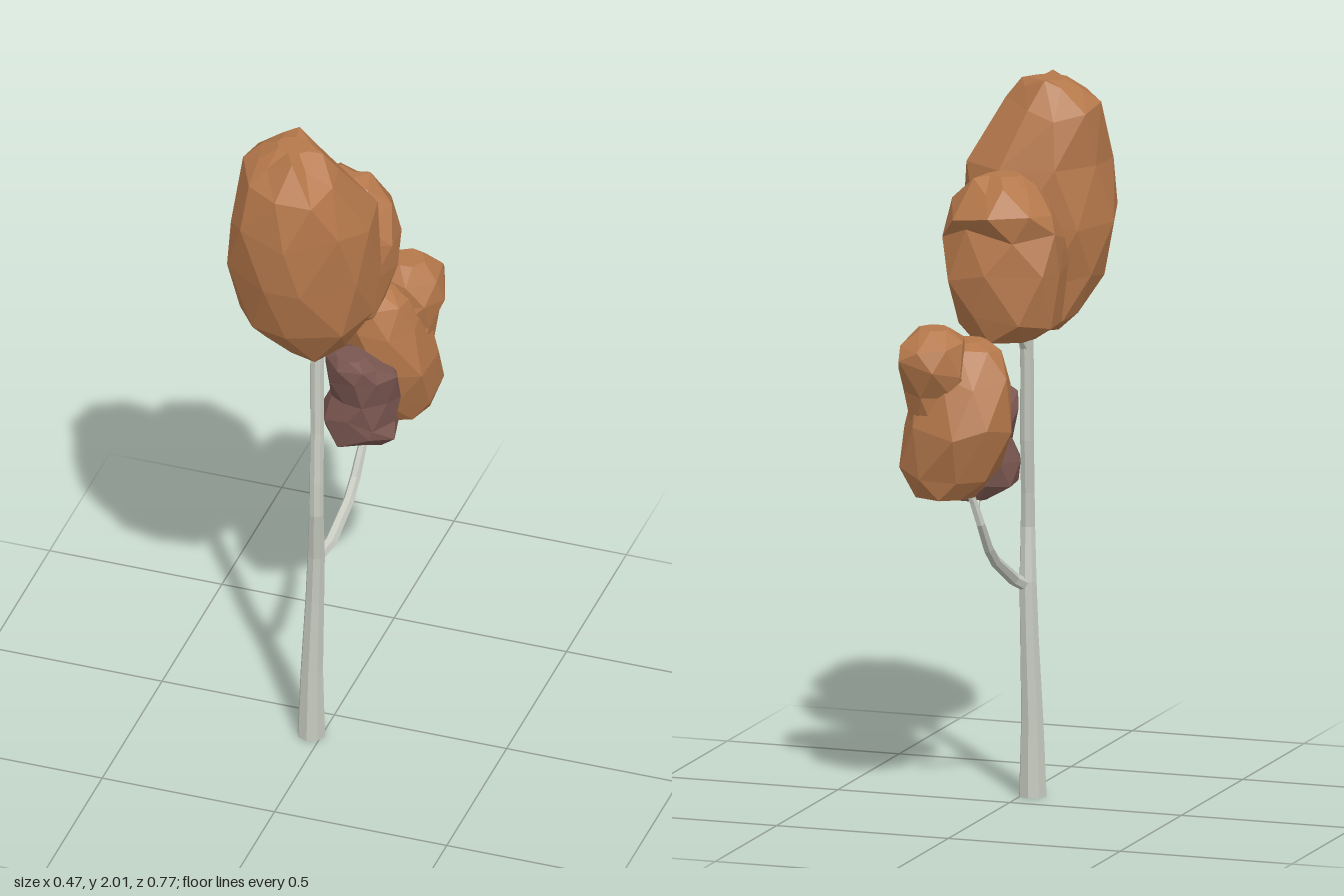
import * as THREE from 'three';

// Seeded noise for the irregular crowns
function makeRandom(seed) {
  return () => {
    seed = (seed * 16807) % 2147483647;
    return seed / 2147483647;
  };
}

// Closed surface through rings of points, ordered from bottom to top
function loft(rings) {
  const n = rings[0].length;
  const pos = [];
  const tri = (...pts) => pts.forEach((p) => pos.push(p.x, p.y, p.z));
  const centre = (ring) =>
    ring.reduce((sum, p) => sum.add(p), new THREE.Vector3()).divideScalar(n);
  const low = centre(rings[0]);
  const high = centre(rings[rings.length - 1]);
  for (let i = 0; i < n; i++) {
    const j = (i + 1) % n;
    for (let k = 0; k < rings.length - 1; k++) {
      const b = rings[k], t = rings[k + 1];
      if (k % 2 === 0) {
        tri(b[i], t[i], b[j]);
        tri(b[j], t[i], t[j]);
      } else {
        tri(b[i], t[i], t[j]);
        tri(b[i], t[j], b[j]);
      }
    }
    const last = rings[rings.length - 1];
    tri(low, rings[0][i], rings[0][j]);
    tri(high, last[j], last[i]);
  }
  const geo = new THREE.BufferGeometry();
  geo.setAttribute('position', new THREE.Float32BufferAttribute(pos, 3));
  geo.computeVertexNormals();
  return geo;
}

// Faceted crown: each section is [y, centre x, centre z, radius x, radius z, skew of x by z]
function crown(sections, seed, sides = 8, rough = 0.1) {
  const rnd = makeRandom(seed);
  return loft(sections.map(([y, cx, cz, rx, rz, skew = 0], k) => {
    const ring = [];
    const end = k === 0 || k === sections.length - 1;
    for (let i = 0; i < sides; i++) {
      const a = ((i + (k % 2) / 2 + (rnd() - 0.5) * 0.35) / sides) * Math.PI * 2;
      const s = 1.03 + (rnd() - 0.5) * 2 * rough;
      const dy = end ? 0 : (rnd() - 0.5) * 0.045;
      const dz = Math.sin(a) * rz * s;
      ring.push(new THREE.Vector3(cx + Math.cos(a) * rx * s + skew * dz, y + dy, cz + dz));
    }
    return ring;
  }));
}

// Tapered limb: each point is [x, y, z, radius]
function limb(points, sides = 7) {
  const path = points.map(([x, y, z]) => new THREE.Vector3(x, y, z));
  return loft(path.map((p, k) => {
    const t = path[Math.min(k + 1, path.length - 1)].clone()
      .sub(path[Math.max(k - 1, 0)]).normalize();
    if (k === 0 && p.y === 0) t.set(0, 1, 0);
    const u = new THREE.Vector3(1, 0, 0);
    u.addScaledVector(t, -u.dot(t)).normalize();
    const v = new THREE.Vector3().crossVectors(u, t);
    const ring = [];
    for (let i = 0; i < sides; i++) {
      const a = (i / sides) * Math.PI * 2;
      ring.push(p.clone()
        .addScaledVector(u, Math.cos(a) * points[k][3])
        .addScaledVector(v, Math.sin(a) * points[k][3]));
    }
    return ring;
  }));
}

export function createModel() {
  const group = new THREE.Group();
  const material = (name, color) => {
    const m = new THREE.MeshStandardMaterial({ color, flatShading: true });
    m.name = name;
    return m;
  };
  const bark = material('pale bark', 0xc5c9be);
  const orange = material('autumn brown leaves', 0xb5784b);
  const plum = material('dark plum leaves', 0x7a5650);
  const add = (name, geometry, mat) => {
    const mesh = new THREE.Mesh(geometry, mat);
    mesh.name = name;
    group.add(mesh);
  };

  // Trunk and branches
  add('trunk', limb([
    [-0.03, 0, 0.106, 0.04], [-0.028, 0.22, 0.106, 0.032], [-0.02, 0.45, 0.105, 0.027],
    [-0.015, 0.6, 0.108, 0.025], [-0.008, 0.75, 0.127, 0.021], [-0.01, 0.85, 0.12, 0.02],
    [-0.015, 1.0, 0.1, 0.02], [-0.02, 1.2, 0.087, 0.02], [-0.02, 1.29, 0.08, 0.02],
  ], 8), bark);
  add('frontFork', limb([
    [-0.02, 1.26, 0.082, 0.017], [-0.025, 1.31, 0.105, 0.014], [-0.03, 1.4, 0.13, 0.012],
  ], 6), bark);
  add('backFork', limb([
    [-0.02, 1.26, 0.08, 0.016], [-0.01, 1.31, 0.045, 0.013], [-0.005, 1.38, 0.01, 0.012],
  ], 6), bark);
  add('sideBranch', limb([
    [-0.015, 0.585, 0.11, 0.018], [0.01, 0.615, 0.06, 0.018], [0.024, 0.685, -0.05, 0.016],
    [0.026, 0.73, -0.1, 0.015], [0.03, 0.81, -0.152, 0.013], [0.045, 0.87, -0.165, 0.012],
    [0.07, 0.95, -0.19, 0.011],
  ], 6), bark);
  add('sideTwig', limb([
    [0.04, 0.84, -0.158, 0.01], [0.045, 0.88, -0.135, 0.008], [0.05, 0.94, -0.11, 0.008],
  ], 5), bark);

  // Large upper crown
  add('topCrown', crown([
    [1.31, -0.05, 0.13, 0.05, 0.045], [1.35, -0.03, 0.145, 0.12, 0.1],
    [1.46, -0.02, 0.17, 0.175, 0.16, -0.1], [1.62, -0.03, 0.19, 0.2, 0.185, -0.15],
    [1.78, -0.02, 0.195, 0.19, 0.185, -0.12], [1.92, -0.055, 0.21, 0.14, 0.15, 0.25],
    [1.985, -0.06, 0.2, 0.09, 0.085, 0.1], [2.0, -0.05, 0.19, 0.05, 0.04],
  ], 71, 9, 0.05), orange);

  // Smaller crown behind the top one
  add('rearCrown', crown([
    [1.315, 0, -0.05, 0.085, 0.085], [1.37, -0.01, -0.045, 0.14, 0.13],
    [1.5, 0, -0.04, 0.175, 0.145], [1.61, 0, -0.035, 0.165, 0.13],
    [1.675, 0, -0.06, 0.14, 0.13], [1.745, 0, -0.045, 0.09, 0.085],
    [1.77, 0, -0.035, 0.045, 0.045],
  ], 433, 8, 0.08), orange);

  // Lower crown on the side branch, with a broad knob on top
  add('lowerCrown', crown([
    [0.905, 0.1, -0.24, 0.085, 0.09], [0.97, 0.09, -0.23, 0.135, 0.125],
    [1.1, 0.07, -0.23, 0.155, 0.15, 0.2], [1.23, 0.06, -0.2, 0.13, 0.13, 0.2],
    [1.3, 0.055, -0.18, 0.095, 0.095, 0.2], [1.33, 0.06, -0.18, 0.05, 0.05],
  ], 911, 8, 0.06), orange);
  add('lowerCrownKnob', crown([
    [1.06, 0.11, -0.23, 0.08, 0.09], [1.19, 0.115, -0.25, 0.095, 0.095],
    [1.275, 0.125, -0.275, 0.1, 0.105], [1.335, 0.125, -0.275, 0.09, 0.095],
    [1.375, 0.125, -0.265, 0.045, 0.045],
  ], 1297, 7, 0.06), orange);

  // Dark leaf cluster beside the lower crown
  add('darkCluster', crown([
    [0.87, 0.075, -0.11, 0.05, 0.045], [0.915, 0.055, -0.085, 0.1, 0.095],
    [0.98, 0.045, -0.07, 0.1, 0.1], [1.045, 0.055, -0.075, 0.095, 0.085],
    [1.11, 0.06, -0.065, 0.1, 0.09], [1.155, 0.045, -0.055, 0.08, 0.08],
    [1.18, 0.035, -0.04, 0.045, 0.04],
  ], 2203, 8, 0.12), plum);

  return group;
}
